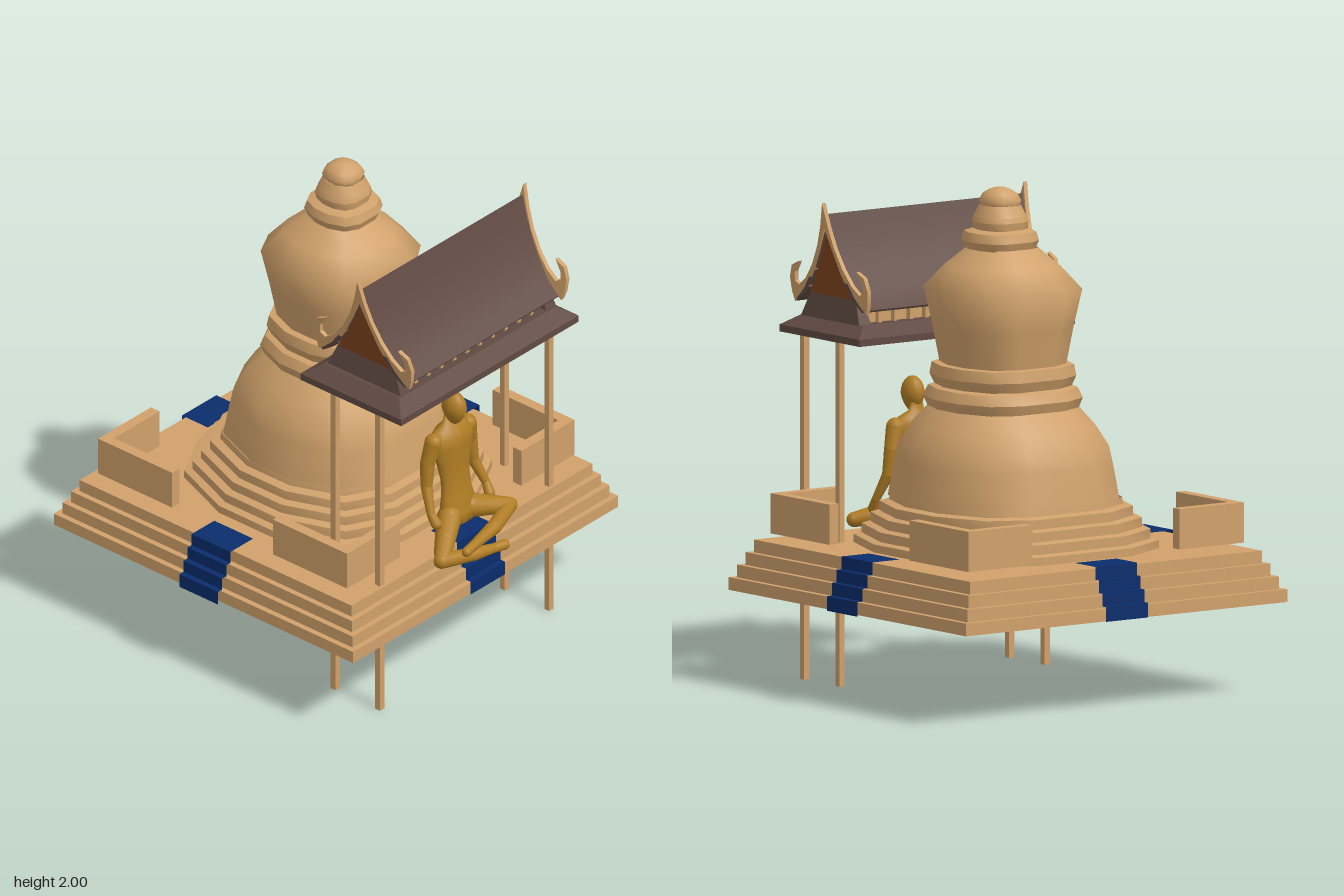
import * as THREE from 'three';
import { mergeGeometries, mergeVertices, toCreasedNormals } from 'three/addons/utils/BufferGeometryUtils.js';

const mat = (name, color, side = THREE.FrontSide) => {
  const m = new THREE.MeshStandardMaterial({ color, side });
  m.name = name;
  return m;
};

export function createModel() {
  const stone = mat('sandstone', 0xd0a16b, THREE.DoubleSide);
  const tile = mat('dark roof tile', 0x604a42, THREE.DoubleSide);
  const blue = mat('blue stair', 0x0a2d6b, THREE.DoubleSide);
  const gold = mat('gold', 0xb07d24);
  const panel = mat('gable brown', 0x804520, THREE.DoubleSide);
  const model = new THREE.Group();

  const add = (name, geo, material, parent = model) => {
    const mesh = new THREE.Mesh(geo, material);
    mesh.name = name;
    parent.add(mesh);
    return mesh;
  };
  // Box given by its minimum and maximum on each axis
  const box = (name, [x0, x1], [y0, y1], [z0, z1], material, parent) => {
    const g = new THREE.BoxGeometry(x1 - x0, y1 - y0, z1 - z0);
    g.translate((x0 + x1) / 2, (y0 + y1) / 2, (z0 + z1) / 2);
    return add(name, g, material, parent);
  };
  const group = (name) => {
    const g = new THREE.Group();
    g.name = name;
    model.add(g);
    return g;
  };

  // Stepped platform; the lowest step is a shell open underneath
  const platform = group('platform');
  const base = 0.371, rise = 0.0505;
  for (let i = 0; i < 4; i++) {
    const r = 0.787 - i * 0.024, y = base + i * rise;
    const step = box('platformStep', [-0.005 - r, -0.005 + r], [y, y + rise], [-0.016 - r, -0.016 + r], stone, platform);
    if (i === 0) {
      const index = [...step.geometry.index.array];
      index.splice(18, 6);
      step.geometry.setIndex(index);
    }
  }

  // Blue stair sheet in the middle of each side, folded over the steps
  const stairs = group('stairs');
  const stair = (name, x, z, angle, reach, inner) => {
    const fold = [[base, reach]];
    for (let i = 0; i < 4; i++) {
      const top = base + (i + 1) * rise + 0.008;
      fold.push([top, reach - i * 0.024], [top, i < 3 ? reach - (i + 1) * 0.024 : inner]);
    }
    const w = 0.102, pos = [], idx = [];
    for (let i = 1; i < fold.length; i++) {
      const [y0, d0] = fold[i - 1], [y1, d1] = fold[i], n = pos.length / 3;
      pos.push(-w, y0, d0, w, y0, d0, w, y1, d1, -w, y1, d1);
      idx.push(n, n + 1, n + 2, n, n + 2, n + 3);
    }
    const g = new THREE.BufferGeometry();
    g.setAttribute('position', new THREE.Float32BufferAttribute(pos, 3));
    g.setIndex(idx);
    g.computeVertexNormals();
    const mesh = add(name, g, blue, stairs);
    mesh.position.set(x, 0, z);
    mesh.rotation.y = angle;
  };
  stair('frontStair', 0.003, -0.02, 0, 0.795, 0.587);
  stair('backStair', 0.003, -0.02, Math.PI, 0.795, 0.587);
  stair('leftStair', -0.003, -0.02, Math.PI / 2, 0.812, 0.605);
  stair('rightStair', -0.003, -0.02, -Math.PI / 2, 0.812, 0.605);

  // L-shaped corner walls
  const walls = group('cornerWalls');
  for (const sx of [-1, 1]) for (const sz of [-1, 1]) {
    const s = new THREE.Shape([[0, 0], [0.315, 0], [0.315, 0.045], [0.045, 0.045], [0.045, 0.39], [0, 0.39]]
      .map(([a, b]) => new THREE.Vector2(sx * (0.675 - a), -sz * (0.655 - b))));
    const g = new THREE.ExtrudeGeometry(s, { depth: 0.16, bevelEnabled: false });
    g.rotateX(-Math.PI / 2);
    g.translate(0.004, 0.603, -0.023);
    add('cornerWall', g, stone, walls);
  }

  // Stupa: twelve-sided rings, smooth within each section and sharp between them
  const quarter = [[0.4, 1], [0.8, 0.79], [1, 0.27]];
  const half = [...quarter, ...quarter.map(([x, z]) => [x, -z]).reverse()];
  const outline = [...half, ...half.map(([x, z]) => [-x, -z])];
  const turned = (sections) => mergeGeometries(sections.map((pts) => {
    const g = new THREE.LatheGeometry(pts.map(([r, y]) => new THREE.Vector2(r, y)), 12);
    const p = g.attributes.position;
    for (let i = 0; i <= 12; i++) pts.forEach(([r, y], j) =>
      p.setXYZ(i * pts.length + j, outline[i % 12][0] * r, y, outline[i % 12][1] * r));
    g.deleteAttribute('normal');
    g.deleteAttribute('uv');
    const w = mergeVertices(g);
    w.computeVertexNormals();
    return w;
  }));
  const pairs = (pts) => pts.slice(1).map((p, i) => [pts[i], p]);
  const stupa = group('stupa');
  stupa.position.set(0.015, 0, -0.009);
  const plinth = add('stupaPlinth', turned(pairs([[0.54, 0.57], [0.54, 0.605], [0.511, 0.612], [0.511, 0.65],
    [0.48, 0.657], [0.48, 0.695], [0.449, 0.702], [0.449, 0.74], [0.414, 0.747], [0.41, 0.775]])), stone, stupa);
  plinth.position.set(-0.016, 0, 0);
  const bell = add('stupaBell', turned([[[0.41, 0.765], [0.398, 0.84], [0.386, 0.91], [0.372, 0.98], [0.325, 1.06], [0.268, 1.13]]]), stone, stupa);
  bell.position.set(-0.004, 0, 0);
  add('stupaRings', turned(pairs([[0.268, 1.128], [0.283, 1.168], [0.265, 1.208], [0.243, 1.215],
    [0.26, 1.255], [0.252, 1.3], [0.224, 1.303]])), stone, stupa);
  add('stupaUrn', turned([[[0.224, 1.3], [0.25, 1.45], [0.281, 1.6], [0.205, 1.69], [0.125, 1.762]]]), stone, stupa);
  const finial = add('stupaFinial', turned([
    ...pairs([[0.125, 1.758], [0.138, 1.79], [0.128, 1.825], [0.095, 1.835], [0.1, 1.865], [0.094, 1.885], [0.074, 1.93]]),
    [[0.07, 1.93], [0.075, 1.948], [0.062, 1.975], [0.04, 1.99], [0.02, 1.998], [0, 2]]]), stone, stupa);
  finial.position.set(0.009, 0, 0.006);

  // Pavilion posts
  const pavilion = group('pavilion');
  for (const x of [-0.525, 0.479]) for (const z of [0.441, 0.675])
    box('post', [x - 0.013, x + 0.013], [0, 1.4], [z - 0.013, z + 0.013], stone, pavilion);

  // Eave slab with a sloping top; cx and cz are the middle of the roof
  const cx = -0.025, cz = 0.546, rx = -0.012;
  box('eaveSlab', [cx - 0.527, cx + 0.527], [1.37, 1.398], [cz - 0.265, cz + 0.265], tile, pavilion);
  // Four-sided block that narrows towards its top
  const taper = (name, w0, d0, w1, d1, y0, y1, x, material) => {
    const g = new THREE.BoxGeometry(1, y1 - y0, 1).toNonIndexed();
    const p = g.attributes.position;
    for (let i = 0; i < p.count; i++) {
      const up = p.getY(i) > 0;
      p.setX(i, p.getX(i) * (up ? w1 : w0));
      p.setZ(i, p.getZ(i) * (up ? d1 : d0));
    }
    g.computeVertexNormals();
    g.translate(x, (y0 + y1) / 2, cz);
    return add(name, g, material, pavilion);
  };
  taper('eaveSlope', 1.054, 0.53, 0.93, 0.4, 1.398, 1.442, cx, tile);
  box('roofWall', [rx - 0.43, rx + 0.43], [1.44, 1.55], [cz - 0.15, cz + 0.15], stone, pavilion);
  for (let i = 0; i < 12; i++) for (const s of [-1, 1]) {
    const x = rx - 0.42 + i * 0.84 / 11, z = cz + s * 0.16;
    box('eaveBracket', [x - 0.008, x + 0.008], [1.44, 1.53], [z - 0.012, z + 0.012], stone, pavilion);
  }
  for (const s of [-1, 1])
    taper('endSkirt', 0.06, 0.385, 0.03, 0.3, 1.44, 1.535, rx + s * 0.432, tile);

  // Profile across the roof (offset from the ridge, height), mirrored and swept along x
  const across = (outer, inner, len) => {
    const flip = (a) => a.map(([d, y]) => [-d, y]).reverse();
    const pts = [...outer, ...inner, ...flip(inner).slice(1), ...flip(outer).slice(0, -1)];
    const g = new THREE.ExtrudeGeometry(new THREE.Shape(pts.map(([d, y]) => new THREE.Vector2(d, y))),
      { depth: len, bevelEnabled: false });
    g.rotateY(Math.PI / 2);
    g.translate(-len / 2, 0, cz);
    return g;
  };
  const roof = across(
    [[0, 1.865], [0.035, 1.77], [0.075, 1.685], [0.12, 1.61], [0.165, 1.55], [0.22, 1.502]],
    [[0.215, 1.494], [0.155, 1.535], [0.105, 1.6], [0.06, 1.68], [0.022, 1.76], [0, 1.81]], 0.93);
  const rp = roof.attributes.position;
  for (let i = 0; i < rp.count; i++) rp.setX(i, rp.getX(i) * (1 + (rp.getY(i) - 1.5) * 0.13) + rx);
  add('roofTiles', toCreasedNormals(roof, 0.5), tile, pavilion);

  // Leaning gable ends: horned barge boards around a brown panel
  for (const s of [-1, 1]) {
    const lean = (g, x) => {
      const p = g.attributes.position;
      for (let i = 0; i < p.count; i++) p.setX(i, p.getX(i) + rx + s * (x + (p.getY(i) - 1.5) * 0.1));
      return toCreasedNormals(g, 0.5);
    };
    add('bargeBoard', lean(across(
      [[0, 1.91], [0.025, 1.815], [0.055, 1.735], [0.1, 1.655], [0.15, 1.595], [0.2, 1.56], [0.225, 1.575],
        [0.222, 1.61], [0.192, 1.655], [0.238, 1.635], [0.256, 1.585], [0.25, 1.53], [0.235, 1.49]],
      [[0.19, 1.525], [0.135, 1.56], [0.085, 1.635], [0.04, 1.725], [0, 1.81]], 0.018), 0.452), stone, pavilion);
    add('gablePanel', lean(across([[0, 1.815], [0.04, 1.735], [0.085, 1.645], [0.145, 1.535]],
      [[0, 1.535]], 0.008), 0.442), panel, pavilion);
  }

  // Seated figure: limbs are tapered cylinders with round joints through [x, y, z, radius]
  const figure = group('seatedFigure');
  const limb = (name, pts) => {
    const parts = [];
    pts.forEach(([x, y, z, r], i) => {
      parts.push(new THREE.SphereGeometry(r, 12, 8).translate(x, y, z));
      if (!i) return;
      const q = pts[i - 1];
      const a = new THREE.Vector3(...q.slice(0, 3)), b = new THREE.Vector3(x, y, z);
      const dir = b.clone().sub(a);
      const c = new THREE.CylinderGeometry(r, q[3], dir.length(), 12, 1, true);
      c.applyQuaternion(new THREE.Quaternion().setFromUnitVectors(new THREE.Vector3(0, 1, 0), dir.normalize()));
      parts.push(c.translate(...a.add(b).multiplyScalar(0.5)));
    });
    return add(name, mergeGeometries(parts), gold, figure);
  };
  const torso = new THREE.LatheGeometry([[0, 0.59], [0.095, 0.61], [0.1, 0.65], [0.08, 0.73], [0.076, 0.8], [0.088, 0.87],
    [0.112, 0.95], [0.115, 0.99], [0.085, 1.02], [0.037, 1.045], [0.026, 1.08]].map((p) => new THREE.Vector2(...p)), 20);
  torso.scale(1, 1, 0.48);
  const tp = torso.attributes.position;
  for (let i = 0; i < tp.count; i++) tp.setZ(i, tp.getZ(i) + 0.565 + (1.05 - tp.getY(i)) * 0.11);
  torso.translate(0.014, 0, 0);
  torso.computeVertexNormals();
  add('torso', torso, gold, figure);

  // Head with a broad crown, a narrow chin and a small nose
  const head = new THREE.SphereGeometry(1, 16, 12);
  const hp = head.attributes.position;
  for (let i = 0; i < hp.count; i++) {
    const k = 1 + Math.min(0, hp.getY(i)) * 0.25;
    hp.setXYZ(i, hp.getX(i) * 0.043 * k + 0.014, hp.getY(i) * 0.072 + 1.107, hp.getZ(i) * 0.056 * k + 0.589);
  }
  head.computeVertexNormals();
  add('head', head, gold, figure);
  const nose = new THREE.ConeGeometry(0.009, 0.03, 6);
  add('nose', nose.translate(0.014, 1.1, 0.643), gold, figure);

  for (const s of [-1, 1])
    limb('arm', [[0.014 + s * 0.1, 0.985, 0.57, 0.037], [0.014 + s * 0.125, 0.9, 0.56, 0.03],
      [0.014 + s * 0.138, 0.8, 0.565, 0.024], [0.014 + s * 0.163, 0.7, 0.61, 0.017], [0.014 + s * 0.158, 0.66, 0.635, 0.022]]);
  limb('rightLeg', [[-0.05, 0.645, 0.62, 0.05], [-0.13, 0.6, 0.67, 0.042], [-0.21, 0.555, 0.72, 0.032],
    [-0.06, 0.535, 0.76, 0.028], [0.04, 0.522, 0.775, 0.02], [0.09, 0.52, 0.785, 0.022]]);
  limb('leftLeg', [[0.07, 0.645, 0.62, 0.05], [0.15, 0.625, 0.66, 0.04], [0.22, 0.61, 0.7, 0.03],
    [0.07, 0.597, 0.75, 0.03], [-0.08, 0.59, 0.775, 0.02], [-0.13, 0.585, 0.782, 0.02]]);

  return model;
}
